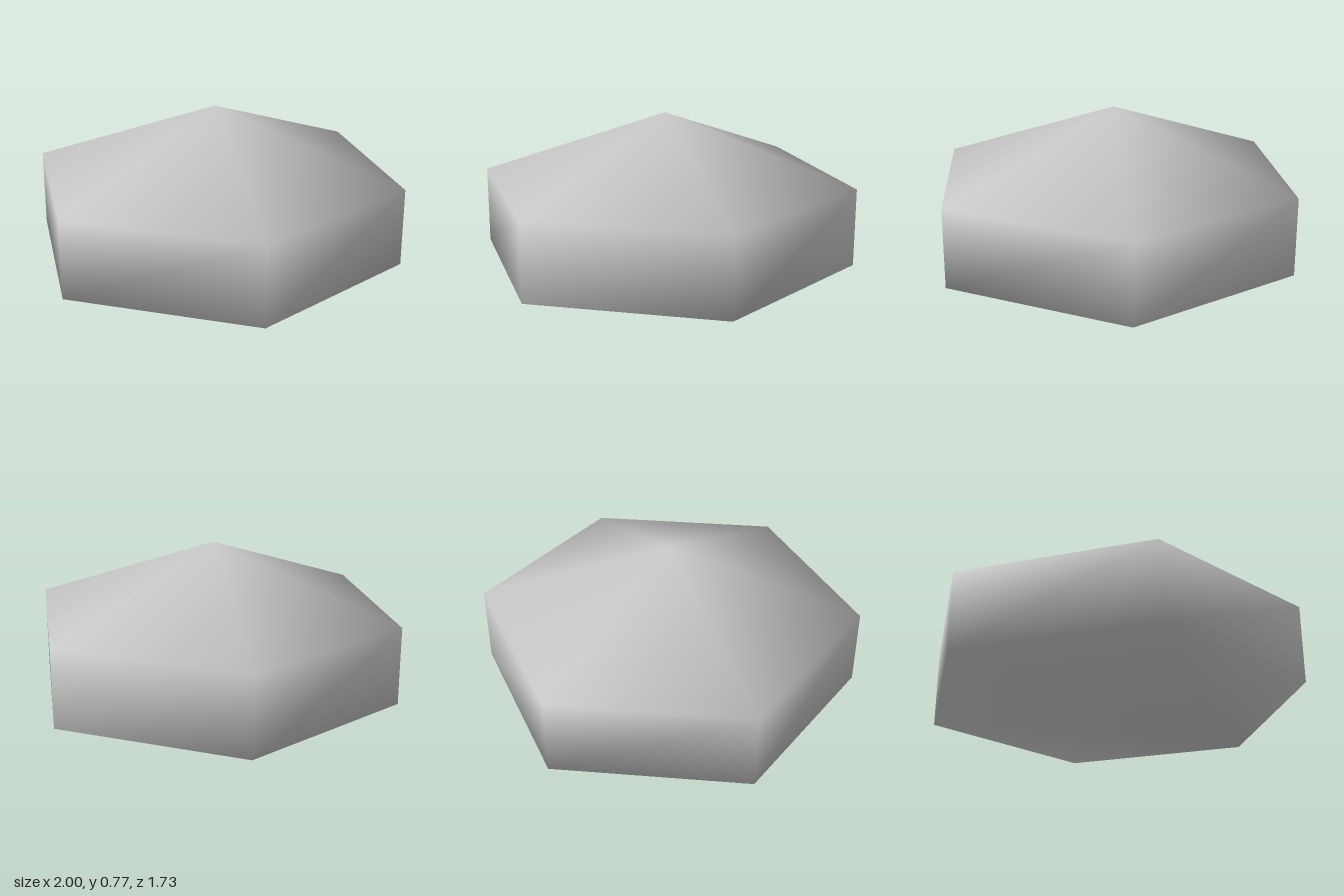
import * as THREE from 'three';

const SIDES = 6;
const WALL_HEIGHT = 0.408;
const PEAK_HEIGHT = 0.766;

// Hexagonal ring of unit radius at height y
function ring(y) {
  return Array.from({ length: SIDES }, (_, i) => {
    const a = (i / SIDES) * Math.PI * 2;
    return new THREE.Vector3(Math.cos(a), y, Math.sin(a));
  });
}

// Shared-vertex geometry whose normals average the adjoining faces equally
function smoothSolid(points, faces) {
  const normals = points.map(() => new THREE.Vector3());
  const tri = new THREE.Triangle();
  const n = new THREE.Vector3();
  for (const [a, b, c] of faces) {
    tri.set(points[a], points[b], points[c]).getNormal(n);
    for (const i of [a, b, c]) normals[i].add(n);
  }
  const flat = (list) => list.flatMap((v) => v.toArray());
  const geometry = new THREE.BufferGeometry();
  geometry.setAttribute('position', new THREE.Float32BufferAttribute(flat(points), 3));
  geometry.setAttribute('normal', new THREE.Float32BufferAttribute(flat(normals.map((v) => v.normalize())), 3));
  geometry.setIndex(faces.flat());
  return geometry;
}

export function createModel() {
  const lightGrey = new THREE.MeshStandardMaterial({ color: 0xcccccc });
  lightGrey.name = 'light grey';

  // Bottom ring 0-5, top ring 6-11, peak 12
  const points = [...ring(0), ...ring(WALL_HEIGHT), new THREE.Vector3(0, PEAK_HEIGHT, 0)];
  const peak = SIDES * 2;
  const faces = [];
  for (let i = 0; i < SIDES; i++) {
    const next = (i + 1) % SIDES;
    const top = i + SIDES;
    const topNext = next + SIDES;
    faces.push([next, i, top], [next, top, topNext]); // wall panel
    faces.push([topNext, top, peak]); // roof slope
  }
  // Closed underside
  for (let i = 1; i < SIDES - 1; i++) faces.push([0, i, i + 1]);

  const body = new THREE.Mesh(smoothSolid(points, faces), lightGrey);
  body.name = 'peakedHexagonalBody';

  const model = new THREE.Group();
  model.name = 'hexagonalBlock';
  model.add(body);
  return model;
}
